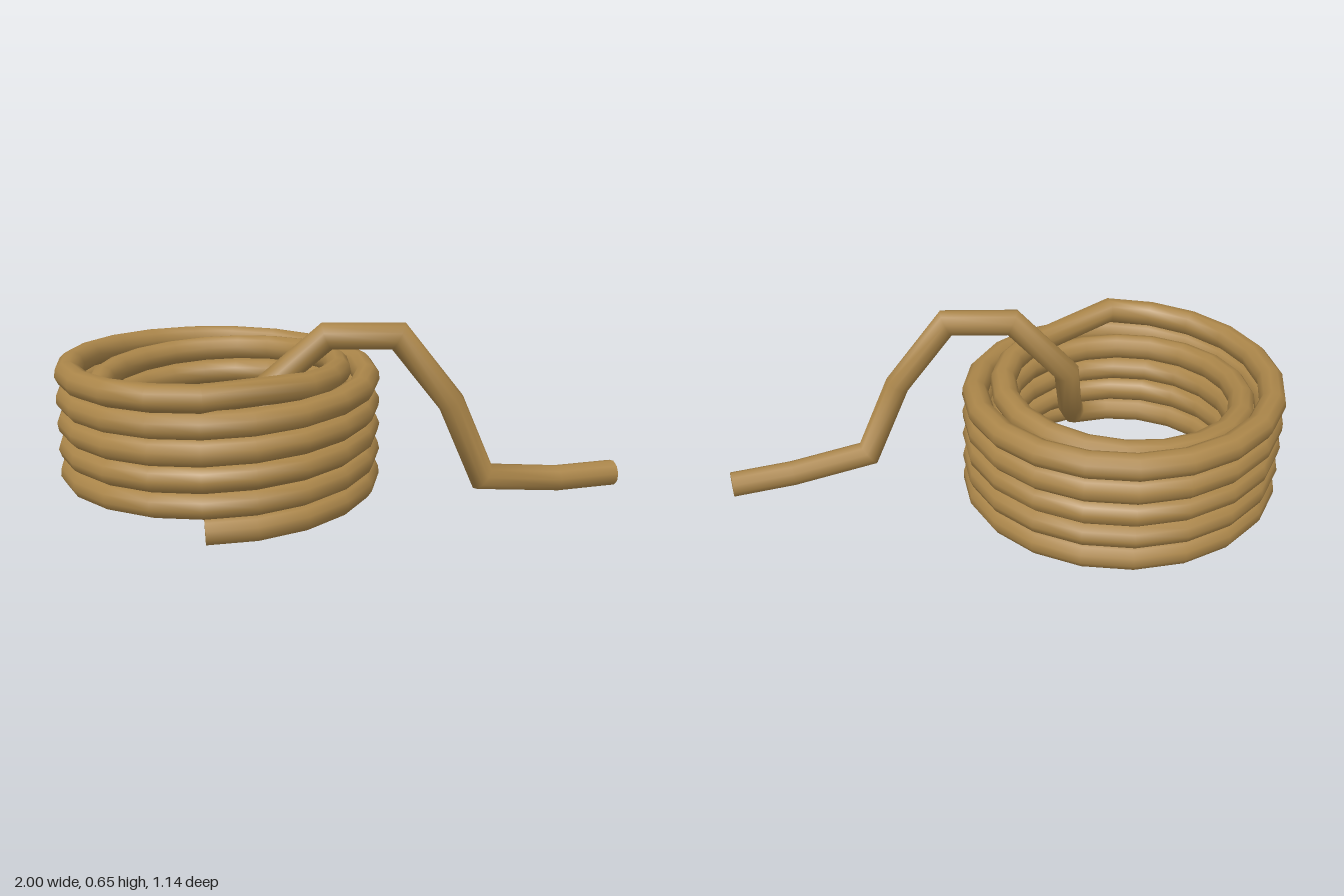
import * as THREE from 'three';

const R = 0.046, SIDES = 10;
const V = (x, y, z) => new THREE.Vector3(x, y, z);

// Helix around the coil axis; the angle runs from +z towards +x
function helix(radius, a0, a1, y0, y1) {
  const n = Math.round((a1 - a0) / (Math.PI * 2) * 20);
  return Array.from({ length: n + 1 }, (_, i) => {
    const t = i / n, a = a0 + (a1 - a0) * t;
    return V(-0.433 + radius * Math.sin(a), y0 + (y1 - y0) * t, radius * Math.cos(a));
  });
}

// Curve that visits each point once, with the bisector as tangent at corners
class Polyline extends THREE.Curve {
  constructor(points) { super(); this.points = points; }
  index(t) { return Math.round(t * (this.points.length - 1)); }
  direction(i) {
    const k = Math.max(0, Math.min(this.points.length - 2, i));
    return this.points[k + 1].clone().sub(this.points[k]).normalize();
  }
  getPointAt(t, out = V(0, 0, 0)) { return out.copy(this.points[this.index(t)]); }
  getTangentAt(t, out = V(0, 0, 0)) {
    const i = this.index(t);
    return out.copy(this.direction(i - 1)).add(this.direction(i)).normalize();
  }
}

// Tube with mitred corners, so it keeps its thickness at every bend
function ropeGeometry(path) {
  const n = path.points.length;
  const geo = new THREE.TubeGeometry(path, n - 1, R, SIDES, false);
  const pos = geo.attributes.position, v = V(0, 0, 0);
  for (let i = 1; i < n - 1; i++) {
    const a = path.direction(i - 1), b = path.direction(i);
    const bend = b.clone().sub(a);
    if (bend.length() < 1e-4) continue;
    bend.normalize();
    const stretch = Math.min(1.4, 1 / Math.cos(a.angleTo(b) / 2)) - 1;
    for (let j = 0; j <= SIDES; j++) {
      const k = i * (SIDES + 1) + j;
      v.fromBufferAttribute(pos, k).sub(path.points[i]);
      v.addScaledVector(bend, v.dot(bend) * stretch).add(path.points[i]);
      pos.setXYZ(k, v.x, v.y, v.z);
    }
  }
  return geo;
}

export function createModel() {
  const group = new THREE.Group();
  group.name = 'coiledRope';
  const material = new THREE.MeshStandardMaterial({ color: 0xaa8549 });
  const turn = Math.PI * 2;

  const points = [
    // outer coil, rising
    ...helix(0.522, -0.04, turn * 5 - 0.04, 0.049, 0.488),
    // inner coil, sinking
    ...helix(0.422, 0.82, turn * 4 + 0.28, 0.462, 0.1),
    // free end: up through the middle, over the coil and down to the ground
    V(-0.29, 0.18, 0.32),
    V(-0.25, 0.43, 0.14),
    V(-0.055, 0.608, 0.19),
    V(0.185, 0.608, 0.198),
    V(0.37, 0.37, 0.18),
    V(0.49, 0.09, 0.155),
    V(0.77, 0.055, 0.085),
    V(0.988, 0.052, 0.025),
  ];
  const path = new Polyline(points);
  const rope = new THREE.Mesh(ropeGeometry(path), material);
  rope.name = 'rope';
  group.add(rope);

  // flat cut ends
  for (const [name, i, sign] of [['startCap', 0, -1], ['endCap', points.length - 1, 1]]) {
    const cap = new THREE.Mesh(new THREE.CircleGeometry(R, SIDES), material);
    cap.name = name;
    cap.position.copy(points[i]);
    cap.lookAt(points[i].clone().addScaledVector(path.direction(i), sign));
    group.add(cap);
  }
  return group;
}
